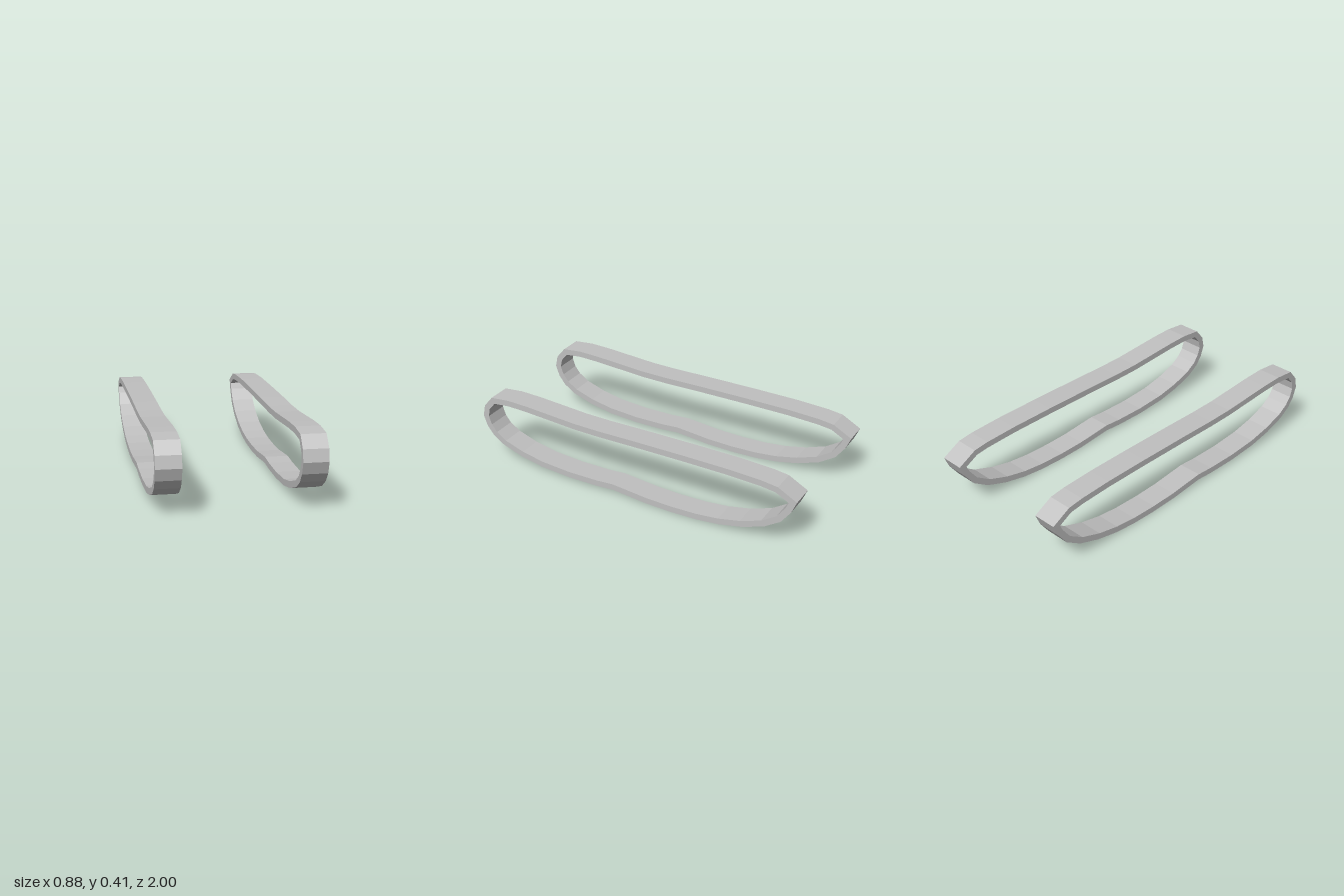
import * as THREE from 'three';

const WIDTH = 0.136;
const THICKNESS = 0.036;
const CENTRE_X = 0.373;

// Outer outline of a track as [z, y], counter-clockwise from the upper front corner
const OUTLINE = [
  [0.93, 0.4], [0.985, 0.335], [1, 0.268], [0.977, 0.202], [0.937, 0.15],
  [0.866, 0.103], [0.74, 0.06], [0.6, 0.032], [0.41, 0.018], [0.22, 0.019],
  [0.115, 0.026], [0.03, 0.018], [-0.1, 0.005], [-0.26, 0], [-0.42, 0.004],
  [-0.555, 0.018], [-0.69, 0.047], [-0.82, 0.093], [-0.915, 0.155],
  [-0.97, 0.23], [-1, 0.3], [-0.89, 0.36], [-0.8, 0.372], [-0.61, 0.381],
  [-0.34, 0.384], [-0.02, 0.384], [0.2, 0.382], [0.36, 0.385], [0.52, 0.396],
  [0.68, 0.407], [0.81, 0.411],
].map(([z, y]) => new THREE.Vector2(z, y)).reverse();

// Mitred inward offset of a closed counter-clockwise loop
function inset(loop, distance) {
  const n = loop.length;
  const normal = (a, b) => new THREE.Vector2(a.y - b.y, b.x - a.x).normalize();
  return loop.map((p, i) => {
    const n1 = normal(loop[(i + n - 1) % n], p);
    const n2 = normal(p, loop[(i + 1) % n]);
    const mitre = n1.clone().add(n2).normalize();
    return p.clone().addScaledVector(mitre, distance / mitre.dot(n1));
  });
}

export function createModel() {
  const group = new THREE.Group();
  group.name = 'trackPair';
  const trackGrey = new THREE.MeshStandardMaterial({ color: 0xc0c0c0 });
  trackGrey.name = 'trackGrey';

  // Hollow band with flat facets, extruded across the track width
  const loop = THREE.ShapeUtils.isClockWise(OUTLINE) ? OUTLINE.slice().reverse() : OUTLINE;
  const shape = new THREE.Shape(loop);
  shape.holes.push(new THREE.Path(inset(loop, THICKNESS)));
  const geometry = new THREE.ExtrudeGeometry(shape, { depth: WIDTH, bevelEnabled: false });
  geometry.translate(0, 0, -WIDTH / 2).rotateY(-Math.PI / 2);

  // One track on each side
  for (const [name, side] of [['leftTrack', 1], ['rightTrack', -1]]) {
    const track = new THREE.Mesh(geometry, trackGrey);
    track.name = name;
    track.position.x = side * CENTRE_X;
    group.add(track);
  }
  return group;
}
